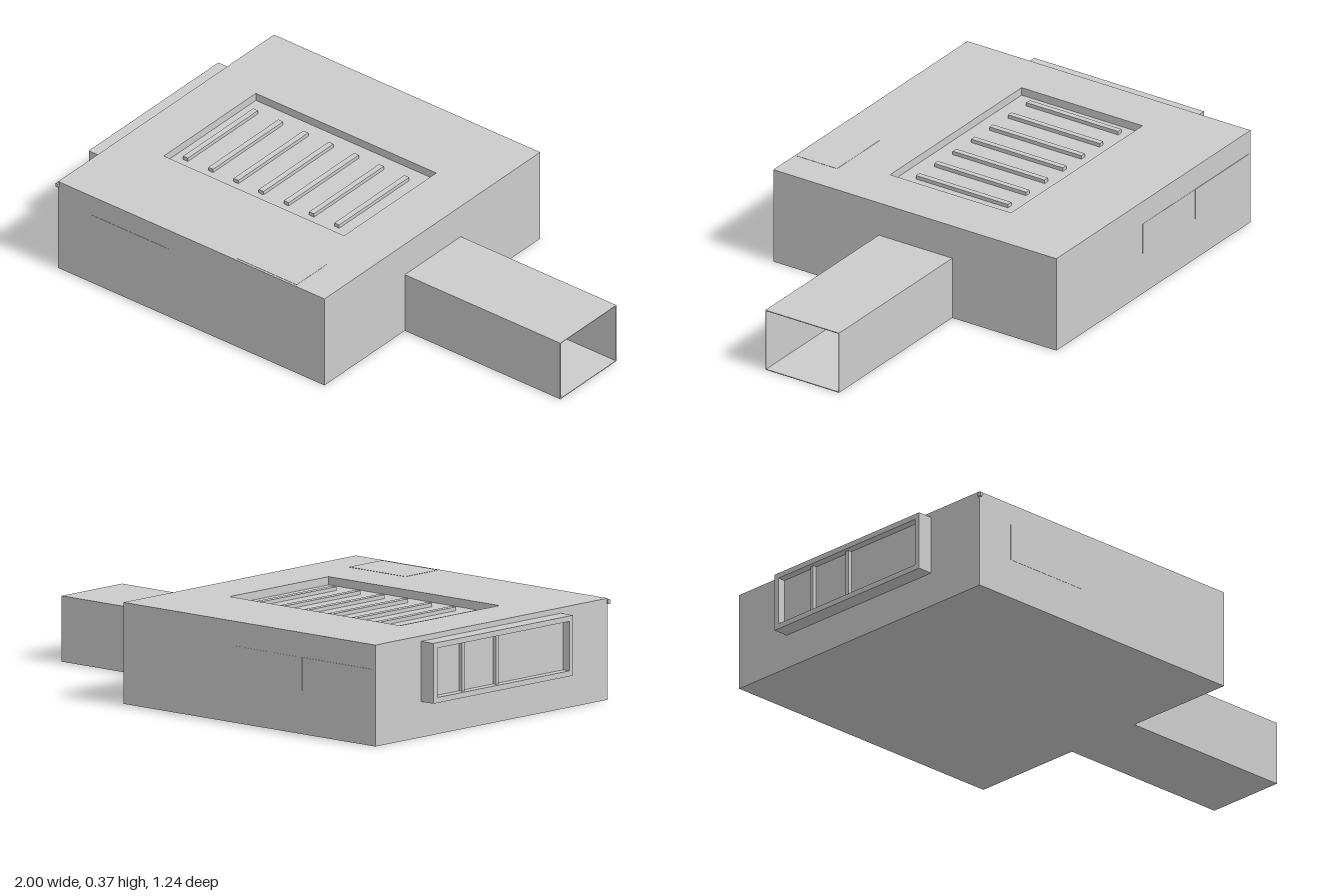
import * as THREE from 'three';

const grey = new THREE.MeshStandardMaterial({ color: 0xcccccc, flatShading: true });

function add(parent, name, geometry) {
  const mesh = new THREE.Mesh(geometry, grey);
  mesh.name = name;
  parent.add(mesh);
  return mesh;
}

// Box given by its limits on each axis
function box(parent, name, [x0, x1], [y0, y1], [z0, z1]) {
  const mesh = add(parent, name, new THREE.BoxGeometry(x1 - x0, y1 - y0, z1 - z0));
  mesh.position.set((x0 + x1) / 2, (y0 + y1) / 2, (z0 + z1) / 2);
  return mesh;
}

// Rectangular frame in the XY plane, extruded along +z
function frame([x0, x1], [y0, y1], [hx0, hx1], [hy0, hy1], depth) {
  const rect = (Type, a, b, c, d) => new Type([[a, c], [b, c], [b, d], [a, d]].map(p => new THREE.Vector2(...p)));
  const shape = rect(THREE.Shape, x0, x1, y0, y1);
  shape.holes.push(rect(THREE.Path, hx0, hx1, hy0, hy1));
  return new THREE.ExtrudeGeometry(shape, { depth, bevelEnabled: false });
}

export function createModel() {
  const model = new THREE.Group();
  model.name = 'buildingWithCorridor';
  const X = [-0.94, 0.285], Z = [-0.618, 0.614], roofY = 0.37, wellY = 0.34;

  // Main block, topped by a roof slab with a sunken well
  box(model, 'mainBlock', X, [0, wellY], Z);
  const roof = add(model, 'roofSlab', frame(X, [-Z[1], -Z[0]], [-0.75, 0.08], [-0.247, 0.279], roofY - wellY)
    .rotateX(-Math.PI / 2));
  roof.position.y = wellY;

  // Slats in the roof well
  const slats = new THREE.Group();
  slats.name = 'roofSlats';
  model.add(slats);
  for (let i = 0; i < 7; i++) {
    const x = -0.7 + i * 0.116;
    box(slats, 'slat', [x - 0.011, x + 0.011], [wellY, wellY + 0.014], [-0.215, 0.185]);
  }
  box(model, 'roofHatch', [-0.125, 0.15], [roofY - 0.01, roofY + 0.001], [0.43, 0.605]);

  // Open-ended corridor: a thin-walled rectangular tube along +x
  const t = 0.003;
  const corridor = add(model, 'corridor', frame([-0.155, 0.165], [0, 0.24],
    [-0.155 + t, 0.165 - t], [t, 0.24 - t], 1 - X[1]).rotateY(Math.PI / 2));
  corridor.position.x = X[1];

  // Double door at the inner end of the corridor
  for (const z of [[-0.03, -0.001], [0.001, 0.03]])
    box(model, 'doorLeaf', [X[1] - 0.01, X[1] + 0.003], [t, 0.157], z);

  // Projecting window box on the -x wall
  const bay = new THREE.Group();
  bay.name = 'windowBay';
  model.add(bay);
  const rim = 0.02;
  const surround = add(bay, 'windowSurround', frame([-0.375, 0.365], [0.13, 0.35],
    [-0.375 + rim, 0.365 - rim], [0.13 + rim, 0.35 - rim], 0.06).rotateY(-Math.PI / 2));
  surround.position.x = X[0];
  box(bay, 'windowPane', [-0.97, X[0]], [0.14, 0.34], [-0.365, 0.355]);
  for (const z of [-0.2, -0.02])
    box(bay, 'mullion', [-0.985, -0.97], [0.15, 0.33], [z - 0.007, z + 0.007]);

  // Nearly flush strip windows on the long walls
  box(model, 'backWindow', [-0.925, -0.59], [0.16, 0.28], [Z[0] - 0.002, Z[0] + 0.01]);
  box(model, 'backWindow', [-0.585, -0.26], [0.16, 0.28], [Z[0] - 0.001, Z[0] + 0.01]);
  box(model, 'frontWindow', [-0.785, -0.43], [0.15, 0.29], [Z[1] - 0.01, Z[1] + 0.001]);

  // Small lamp at the top front corner
  box(model, 'cornerLamp', [-0.945, -0.935], [0.35, 0.365], [Z[1] - 0.005, Z[1] + 0.008]);

  return model;
}
